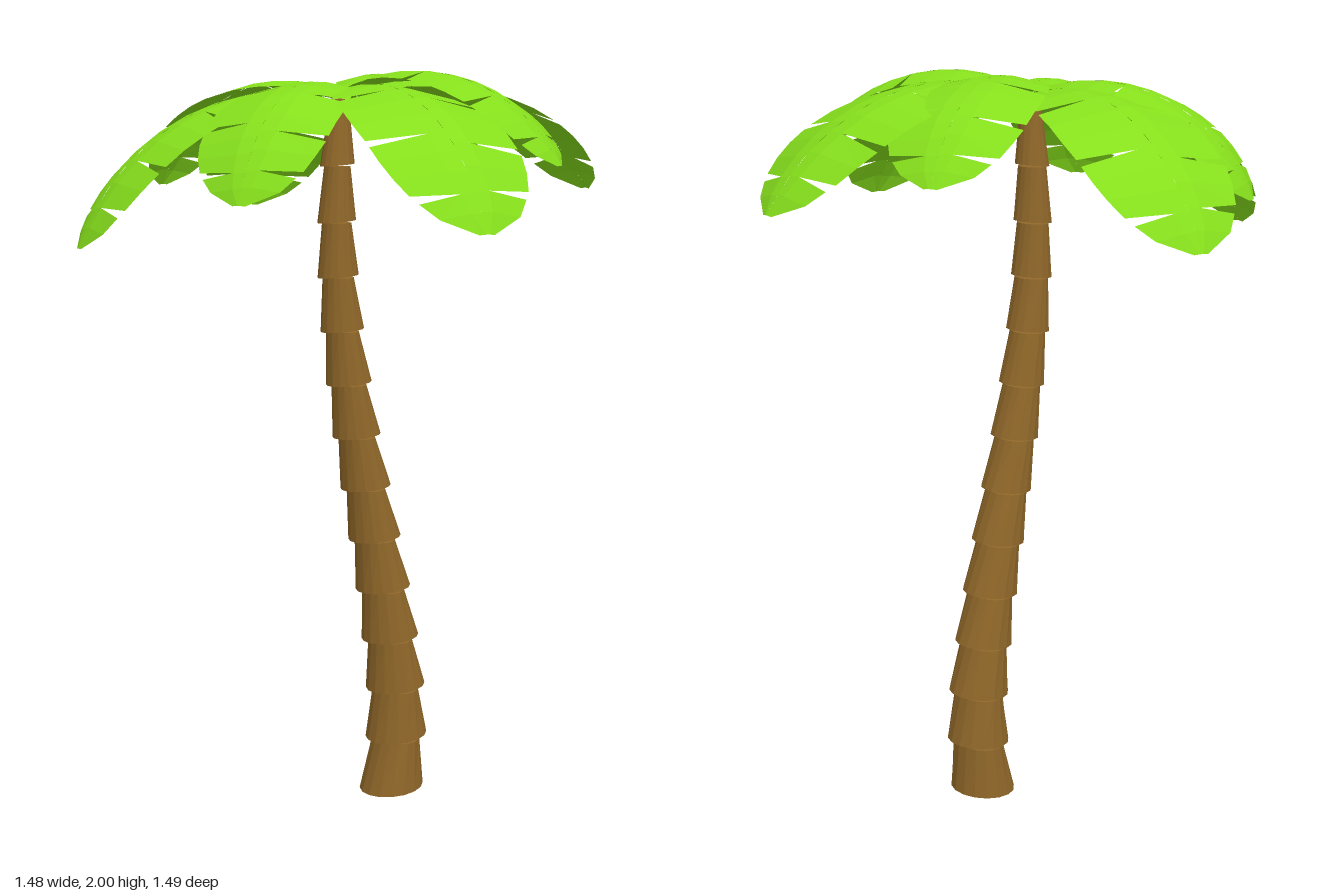
import * as THREE from 'three';

const bark = new THREE.MeshStandardMaterial({ color: 0x92692a, flatShading: true });
const leaf = new THREE.MeshStandardMaterial({ color: 0x86df1c, flatShading: true, side: THREE.DoubleSide });

const CROWN_X = -0.03;

// One trunk tier: a round, slightly tilted foot that narrows sideways towards the next tier
function trunkTier([x0, y0, r0], [x1, y1, r1]) {
  const h = y1 - y0 + 0.005;
  const geo = new THREE.CylinderGeometry(r1, r0, h, 16);
  const p = geo.attributes.position;
  for (let i = 0; i < p.count; i++) {
    const x = p.getX(i), top = p.getY(i) > 0;
    p.setX(i, top ? x * 0.72 + x1 : x + x0);
    p.setY(i, top ? y0 + h : y0 + 0.008 + x * 0.09);
  }
  geo.computeVertexNormals();
  return new THREE.Mesh(geo, bark);
}

// Half-width of a frond along its length, as a fraction of the widest place
const OUTLINE = [[0, 0.02], [0.1, 0.3], [0.25, 0.68], [0.4, 0.92], [0.55, 1], [0.72, 0.98],
  [0.84, 0.86], [0.94, 0.57], [1, 0.1]];
function outline(s) {
  let i = 1;
  while (i < OUTLINE.length - 1 && s > OUTLINE[i][0]) i++;
  const [a, wa] = OUTLINE[i - 1], [b, wb] = OUTLINE[i];
  return wa + (wb - wa) * (s - a) / (b - a);
}

// Places of the slits on the two edges, and the columns from midrib to edge
const SLITS = { 1: [0.38, 0.66, 0.88], [-1]: [0.45, 0.7, 0.87] };
const ACROSS = [0, 0.25, 1];

// Arched leaf along local +x with slit edges; bend is its total downward curl in radians
function frondGeometry(reach, drop, width, bend) {
  const chord = Math.hypot(reach, drop);
  const radius = chord / (2 * Math.sin(bend / 2));
  const start = Math.atan2(drop, reach) + bend / 2;
  const point = (s, v, side) => {
    const a = start - bend * s;
    const w = width * outline(s) * v;
    const sag = 0.16 * w * v;
    return [
      radius * (Math.sin(start) - Math.sin(a)) + Math.sin(a) * sag,
      radius * (Math.cos(a) - Math.cos(start)) - Math.cos(a) * sag,
      side * w,
    ];
  };
  const pos = [];
  for (const side of [1, -1]) {
    const cuts = [0, ...SLITS[side], 1];
    for (let k = 0; k < cuts.length - 1; k++) {
      // Each leaflet is a strip whose ends open into the slits towards the edge
      const end = (i, v, dir) => {
        if (i === 0 || i === cuts.length - 1) return cuts[i];
        const open = Math.max(0, (v - 0.25) / 0.75);
        return cuts[i] + open * dir * 0.014;
      };
      const steps = Math.ceil((cuts[k + 1] - cuts[k]) / 0.1);
      for (let j = 0; j < steps; j++) {
        for (let c = 0; c < ACROSS.length - 1; c++) {
          const at = (jj, v) => point(
            THREE.MathUtils.lerp(end(k, v, 1), end(k + 1, v, -1), jj / steps), v, side);
          const a = at(j, ACROSS[c]), b = at(j, ACROSS[c + 1]);
          const d = at(j + 1, ACROSS[c]), e = at(j + 1, ACROSS[c + 1]);
          if (side > 0) pos.push(...a, ...b, ...e, ...a, ...e, ...d);
          else pos.push(...a, ...e, ...b, ...a, ...d, ...e);
        }
      }
    }
  }
  const geo = new THREE.BufferGeometry();
  geo.setAttribute('position', new THREE.Float32BufferAttribute(pos, 3));
  geo.computeVertexNormals();
  return geo;
}

export function createModel() {
  const model = new THREE.Group();

  // Trunk: tier centres from the ground up, evenly spaced
  const trunk = new THREE.Group();
  trunk.name = 'trunk';
  const centres = [0.128, 0.142, 0.139, 0.122, 0.1, 0.074, 0.047, 0.02, -0.003, -0.022, -0.034, -0.038];
  const rings = centres.map((x, i) => {
    const y = i === 0 ? 0 : 0.152 + (i - 1) * 0.145;
    return [x, y, 0.09 - 0.024 * y];
  });
  rings.push([-0.036, 1.75, 0.046], [CROWN_X, 1.925, 0.032]);
  for (let i = 0; i < rings.length - 1; i++) {
    const tier = trunkTier(rings[i], rings[i + 1]);
    tier.name = 'trunkTier' + (i + 1);
    trunk.add(tier);
  }
  model.add(trunk);

  // Crown: four long fronds with four short ones above, given by tip and half-width
  const crown = new THREE.Group();
  crown.name = 'crown';
  const layers = [
    { name: 'longFrond', base: 1.935, bend: 1.42, tips: [
      [0.035, 1.61, 0.74, 0.205], [-0.02, 1.63, -0.745, 0.203],
      [0.74, 1.69, -0.035, 0.21], [-0.74, 1.555, 0, 0.203]] },
    { name: 'shortFrond', base: 1.945, bend: 1.55, tips: [
      [-0.37, 1.7, -0.5, 0.172], [0.475, 1.77, -0.36, 0.175],
      [-0.45, 1.67, 0.4, 0.172], [0.37, 1.76, 0.475, 0.172]] },
  ];
  for (const { name, base, bend, tips } of layers) {
    tips.forEach(([x, y, z, width], i) => {
      const dx = x - CROWN_X;
      const frond = new THREE.Mesh(frondGeometry(Math.hypot(dx, z), y - base, width, bend), leaf);
      frond.name = name + (i + 1);
      frond.position.set(CROWN_X, base, 0);
      frond.rotation.y = Math.atan2(-z, dx);
      crown.add(frond);
    });
  }
  model.add(crown);
  return model;
}
